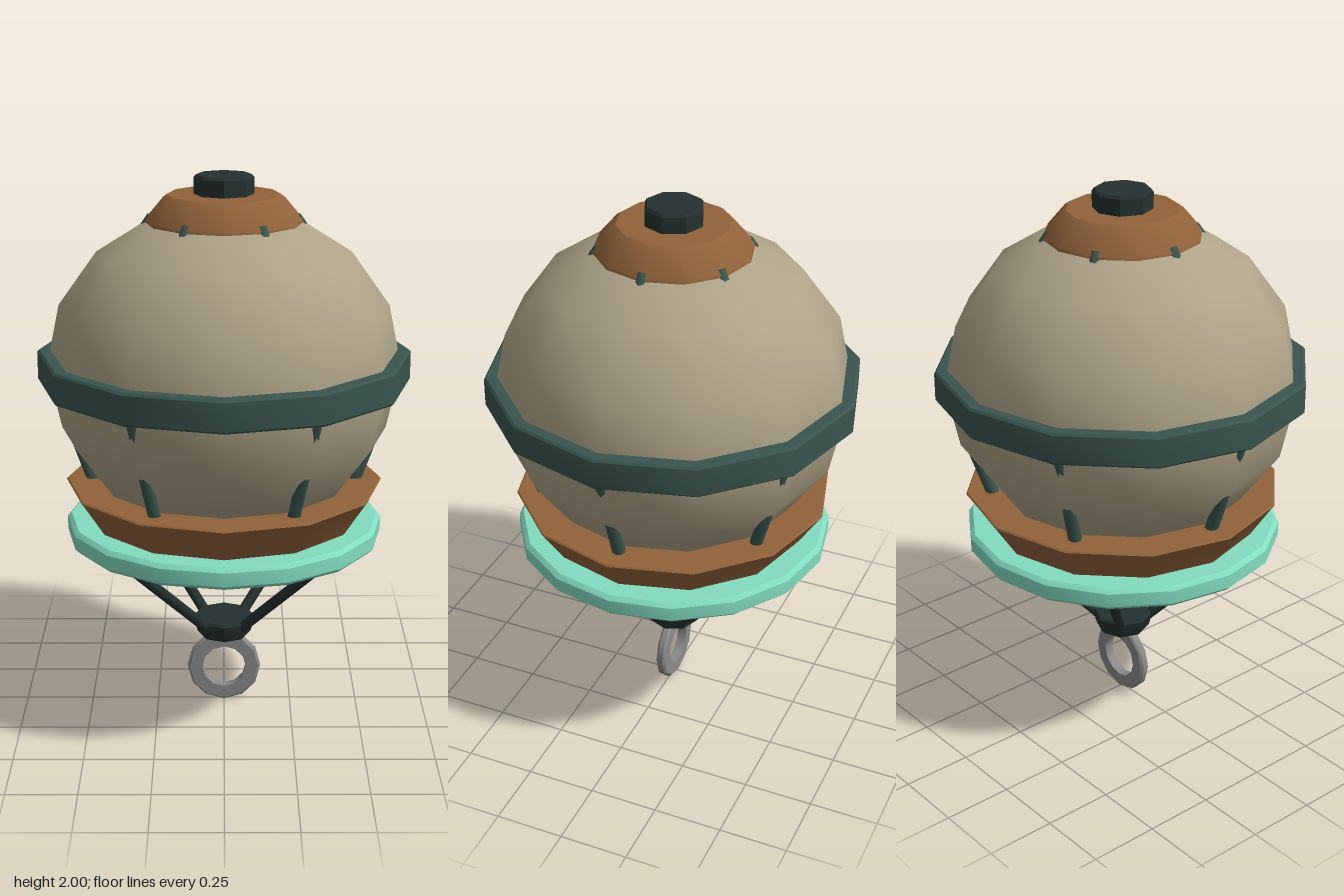
import * as THREE from 'three';
import { toCreasedNormals } from 'three/addons/utils/BufferGeometryUtils.js';

const material = (name, color) => {
  const m = new THREE.MeshStandardMaterial({ color });
  m.name = name;
  return m;
};

export function createModel() {
  const model = new THREE.Group();
  model.name = 'hangingFloat';

  const beige = material('beige', 0xaea388);
  const copper = material('copper', 0x91623a);
  const teal = material('dark teal', 0x3a544e);
  const black = material('near black', 0x243130);
  const mint = material('mint', 0x82dcc0);
  const steel = material('steel', 0x8a8a8a);

  const add = (name, geometry, mat, parent = model) => {
    const mesh = new THREE.Mesh(geometry, mat);
    mesh.name = name;
    parent.add(mesh);
    return mesh;
  };

  // Turned part from [radius, height] points, running up the outside
  const turned = (points, sides) => toCreasedNormals(
    new THREE.LatheGeometry(points.map(([r, y]) => new THREE.Vector2(r, y)), sides), 0.6);

  // Hoop with a bevelled rectangular section
  const hoop = (inner, outer, y0, y1, bevel, sides) => turned([
    [inner, y0], [outer - bevel, y0], [outer, y0 + bevel], [outer, y1 - bevel],
    [outer - bevel, y1], [inner, y1], [inner, y0],
  ], sides);

  // Straight round bar between two points
  const bar = (name, from, to, radius, mat, parent) => {
    const dir = to.clone().sub(from);
    const mesh = add(name, new THREE.CylinderGeometry(radius, radius, dir.length(), 8), mat, parent);
    mesh.position.copy(from).lerp(to, 0.5);
    mesh.quaternion.setFromUnitVectors(new THREE.Vector3(0, 1, 0), dir.normalize());
  };
  const polar = (angle, r, y) => new THREE.Vector3(Math.cos(angle) * r, y, Math.sin(angle) * r);

  // Slightly squashed globe
  const globe = new THREE.SphereGeometry(1, 12, 8).scale(0.637, 0.592, 0.637);
  add('globe', globe, beige).position.y = 1.31;

  // Band around the middle
  add('middleBand', hoop(0.615, 0.67, 1.258, 1.373, 0.008, 12), teal);

  // Crown and its knob
  add('crown', turned([
    [0, 1.835], [0.28, 1.835], [0.277, 1.845], [0.212, 1.922], [0.198, 1.932], [0, 1.932],
  ], 12), copper);
  add('knob', turned([
    [0, 1.92], [0.106, 1.92], [0.106, 1.99], [0.098, 2], [0, 2],
  ], 8), black);

  // Ribs that sink into the globe between crown, band and tray
  const ribs = new THREE.Group();
  ribs.name = 'ribs';
  model.add(ribs);
  for (let i = 0; i < 6; i++) {
    const a = i * Math.PI / 3;
    bar('upperRib', polar(a, 0.575, 1.38), polar(a, 0.25, 1.85), 0.022, teal, ribs);
    bar('lowerRib', polar(a, 0.617, 1.28), polar(a, 0.45, 0.8), 0.024, teal, ribs);
  }

  // Flared tray under the globe
  add('tray', turned([
    [0, 0.735], [0.478, 0.735], [0.572, 0.88], [0.577, 0.885], [0.572, 0.89], [0, 0.89],
  ], 12), copper);

  // Bright ring below the tray
  add('lowerRing', turned([
    [0.46, 0.688], [0.472, 0.675], [0.562, 0.675], [0.577, 0.69], [0.577, 0.74],
    [0.562, 0.755], [0.472, 0.755], [0.46, 0.742], [0.46, 0.688],
  ], 16), mint);

  // Stays running down to the hub
  const stays = new THREE.Group();
  stays.name = 'stays';
  model.add(stays);
  for (let i = 0; i < 4; i++) {
    const a = Math.PI / 4 + i * Math.PI / 2;
    bar('stay', polar(a, 0.51, 0.7), polar(a, 0.09, 0.315), 0.02, black, stays);
  }
  add('hub', turned([
    [0, 0.27], [0.093, 0.27], [0.1, 0.278], [0.117, 0.335], [0.11, 0.345], [0, 0.345],
  ], 8), black);

  // Hanging eye, facing the front
  const eye = add('hangingEye', hoop(0.082, 0.137, -0.018, 0.018, 0.008, 12), steel);
  eye.rotation.x = Math.PI / 2;
  eye.position.y = 0.137;

  return model;
}
